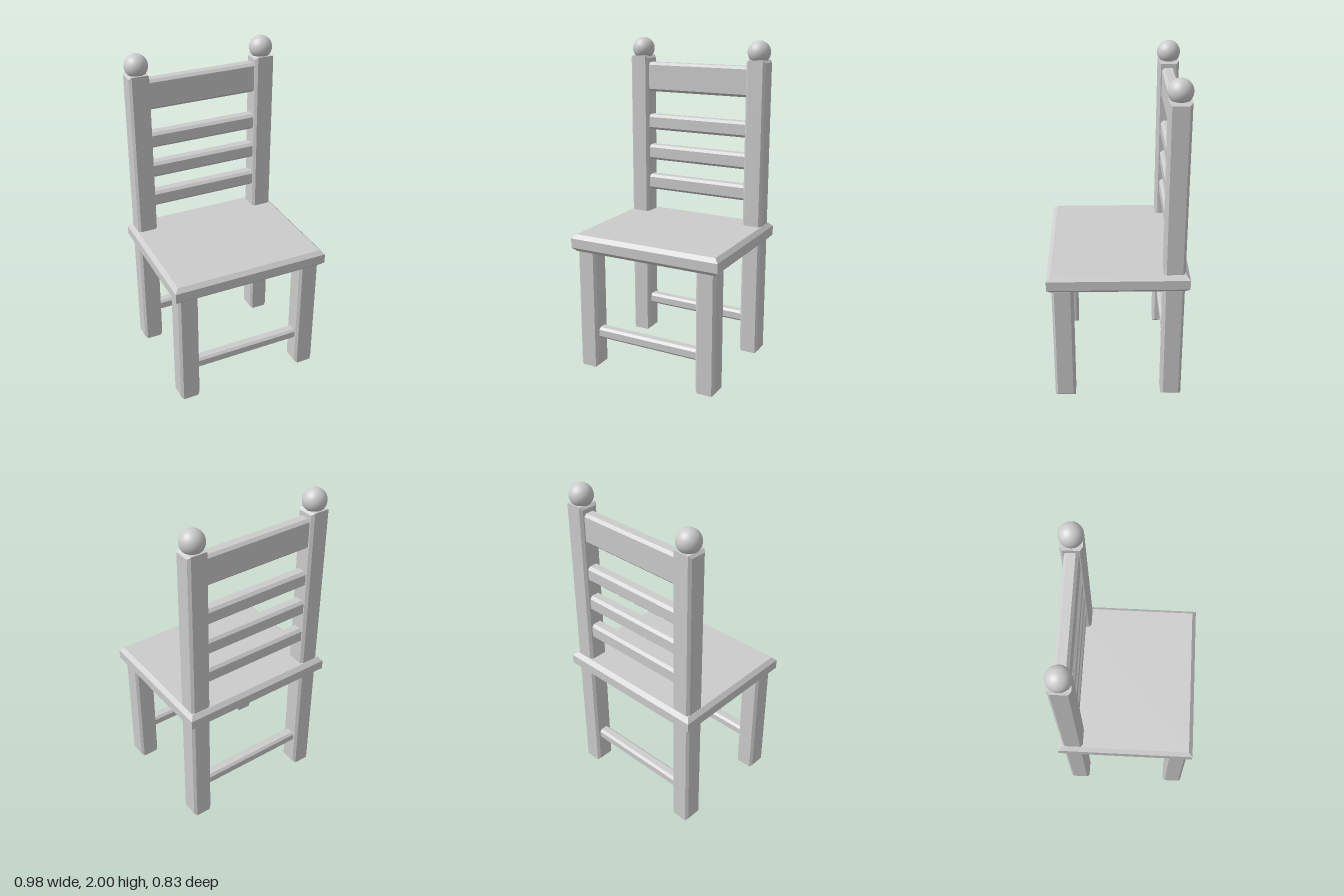
import * as THREE from 'three';

const wood = new THREE.MeshStandardMaterial({ color: 0xcccccc });
wood.name = 'light grey';

// Box whose two faces across the given axis have chamfered rims
function bevelBox(w, h, d, axis, bevel) {
  const [a, b, depth] = axis === 'x' ? [d, h, w] : axis === 'y' ? [w, d, h] : [w, h, d];
  const s = new THREE.Shape();
  s.moveTo(-a / 2, -b / 2);
  s.lineTo(a / 2, -b / 2);
  s.lineTo(a / 2, b / 2);
  s.lineTo(-a / 2, b / 2);
  s.closePath();
  const g = new THREE.ExtrudeGeometry(s, {
    depth: depth - 2 * bevel, bevelEnabled: true, bevelSegments: 1,
    bevelThickness: bevel, bevelSize: bevel, bevelOffset: -bevel,
  });
  g.translate(0, 0, -(depth - 2 * bevel) / 2);
  if (axis === 'x') g.rotateY(Math.PI / 2);
  if (axis === 'y') g.rotateX(-Math.PI / 2);
  return g;
}

export function createModel() {
  const chair = new THREE.Group();
  chair.name = 'chair';
  const add = (name, geometry, x, y, z) => {
    const m = new THREE.Mesh(geometry, wood);
    m.name = name;
    m.position.set(x, y, z);
    chair.add(m);
  };
  const legX = 0.402, legZ = 0.325;

  // Seat board
  add('seat', bevelBox(0.98, 0.106, 0.83, 'y', 0.024), 0, 0.807, 0);

  // Back posts with ball finials, and front legs
  const post = bevelBox(0.125, 1.885, 0.125, 'x', 0.015);
  const leg = bevelBox(0.125, 0.765, 0.125, 'x', 0.015);
  const ball = new THREE.SphereGeometry(0.07, 32, 20);
  for (const [side, sign] of [['left', 1], ['right', -1]]) {
    add(side + 'BackPost', post, sign * legX, 1.885 / 2, -legZ);
    add(side + 'Finial', ball, sign * 0.4, 1.93, -legZ);
    add(side + 'FrontLeg', leg, sign * legX, 0.765 / 2, legZ);
  }

  // Backrest: wide top rail and three slats
  add('topRail', bevelBox(0.76, 0.185, 0.08, 'z', 0.016), 0, 1.752, -legZ);
  const slat = bevelBox(0.76, 0.098, 0.08, 'z', 0.016);
  for (const y of [1.06, 1.26, 1.46]) add('backSlat', slat, 0, y, -legZ);

  // Stretchers between the legs
  const stretcher = bevelBox(0.76, 0.069, 0.07, 'z', 0.014);
  add('frontStretcher', stretcher, 0, 0.225, legZ);
  add('backStretcher', stretcher, 0, 0.225, -legZ);

  return chair;
}
